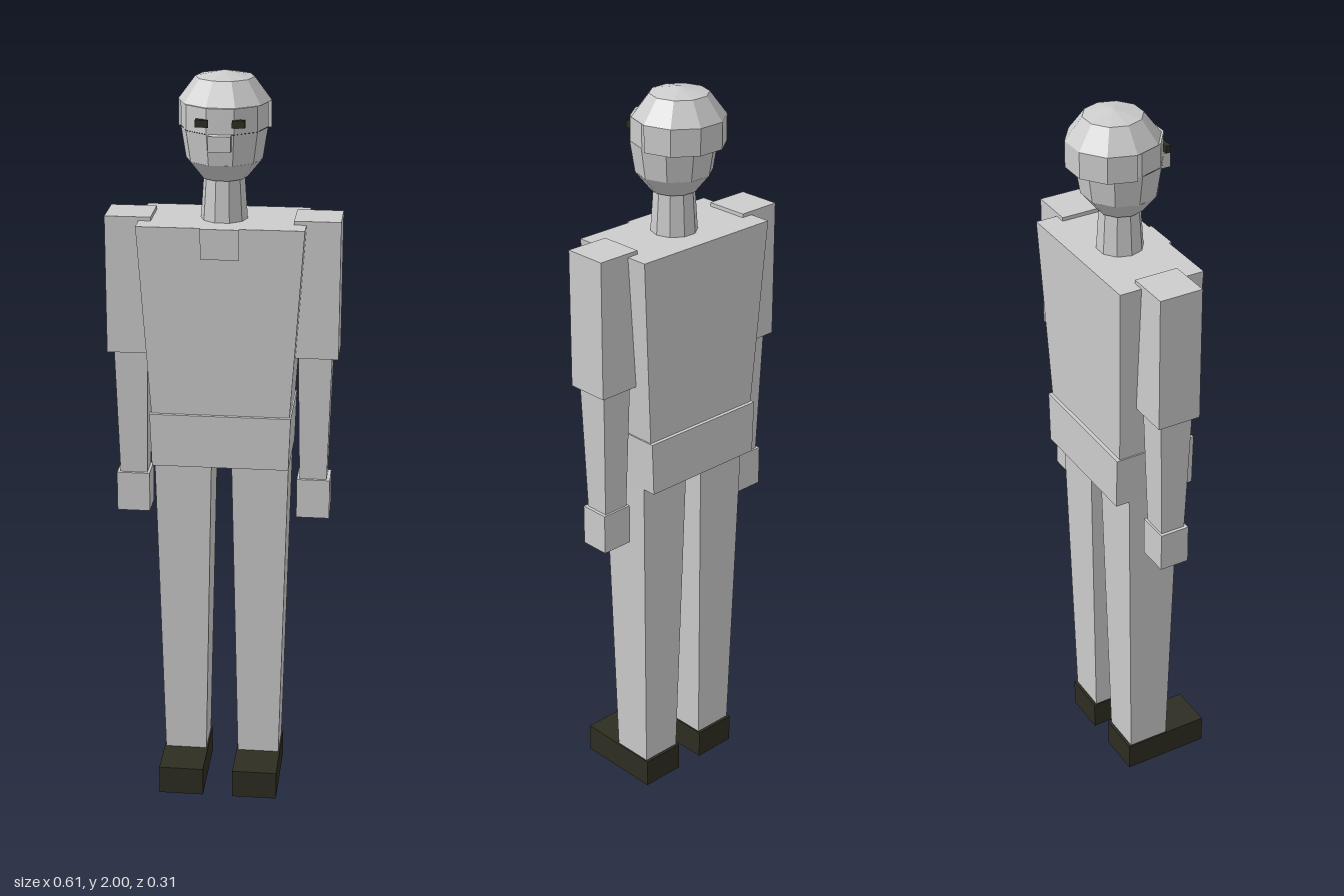
import * as THREE from 'three';

export function createModel() {
  const model = new THREE.Group();
  model.name = 'figure';
  const grey = new THREE.MeshStandardMaterial({ color: 0xcccccc, flatShading: true });
  grey.name = 'light grey';
  const dark = new THREE.MeshStandardMaterial({ color: 0x2e2d22, flatShading: true });
  dark.name = 'dark olive';

  const add = (name, geometry, material = grey) => {
    const mesh = new THREE.Mesh(geometry, material);
    mesh.name = name;
    model.add(mesh);
    return mesh;
  };

  // Block between two heights; each end is [xMin, xMax, zMin, zMax]
  const block = (name, y0, y1, bottom, top = bottom, material = grey) => {
    const g = new THREE.BoxGeometry(1, 1, 1);
    const p = g.attributes.position;
    for (let i = 0; i < p.count; i++) {
      const up = p.getY(i) > 0;
      const e = up ? top : bottom;
      p.setXYZ(i, p.getX(i) > 0 ? e[1] : e[0], up ? y1 : y0, p.getZ(i) > 0 ? e[3] : e[2]);
    }
    g.computeVertexNormals();
    return add(name, g, material);
  };

  // Ten-sided ring section with flat faces toward front and back
  const ring = (name, y0, y1, r0, r1, z, open = false) => {
    const g = new THREE.CylinderGeometry(r1, r0, y1 - y0, 10, 1, open, Math.PI / 10);
    g.translate(0, (y0 + y1) / 2, z);
    return add(name, g);
  };

  // Trunk
  block('torso', 1.11, 1.62, [-0.183, 0.183, -0.13, 0.08], [-0.217, 0.217, -0.147, 0.09]);
  block('pelvis', 0.965, 1.11, [-0.182, 0.182, -0.14, 0.09], [-0.187, 0.187, -0.14, 0.09]);
  block('collarPlate', 1.54, 1.62, [-0.05, 0.05, 0.06, 0.098]);

  // Arms, legs and shoes, mirrored
  for (const side of [-1, 1]) {
    const m = ([a, b, c, d]) => (side > 0 ? [a, b, c, d] : [-b, -a, c, d]);
    const tag = side > 0 ? 'left' : 'right';
    block(tag + 'UpperArm', 1.26, 1.63, m([0.185, 0.306, -0.087, 0.032]));
    block(tag + 'Forearm', 0.91, 1.26, m([0.207, 0.28, -0.06, 0.008]), m([0.2, 0.289, -0.071, 0.02]));
    block(tag + 'Hand', 0.8, 0.91, m([0.2, 0.289, -0.066, 0.016]));
    block(tag + 'Leg', 0.08, 0.965, m([0.045, 0.16, -0.082, 0.034]), m([0.027, 0.18, -0.1, 0.05]));
    block(tag + 'Shoe', 0, 0.08, m([0.041, 0.164, -0.09, 0.155]), undefined, dark);
    block(tag + 'Eye', 1.878, 1.897, m([0.03, 0.063, 0.07, 0.085]), undefined, dark);
  }

  // Neck, jaw and face
  ring('neck', 1.62, 1.74, 0.061, 0.053, -0.024);
  ring('jaw', 1.73, 1.778, 0.06, 0.099, -0.023);
  ring('lowerFace', 1.778, 1.86, 0.099, 0.112, -0.024, true);
  ring('upperFace', 1.86, 1.925, 0.112, 0.112, -0.026);
  block('nose', 1.82, 1.86, [-0.029, 0.029, 0.05, 0.104]);

  // Skull cap
  ring('crown', 1.925, 1.984, 0.12, 0.076, -0.042);
  ring('crownTop', 1.984, 2, 0.076, 0, -0.042, true);

  // Half ring wrapped around the back of the head
  const half = [];
  for (let i = 0; i <= 5; i++) {
    const a = (i * Math.PI) / 5;
    half.push(new THREE.Vector2(0.12 * Math.cos(a), 0.12 * Math.sin(a)));
  }
  const back = new THREE.ExtrudeGeometry(new THREE.Shape(half), { depth: 0.07, bevelEnabled: false });
  back.rotateX(-Math.PI / 2).translate(0, 1.855, -0.042);
  add('backOfHead', back);

  return model;
}
